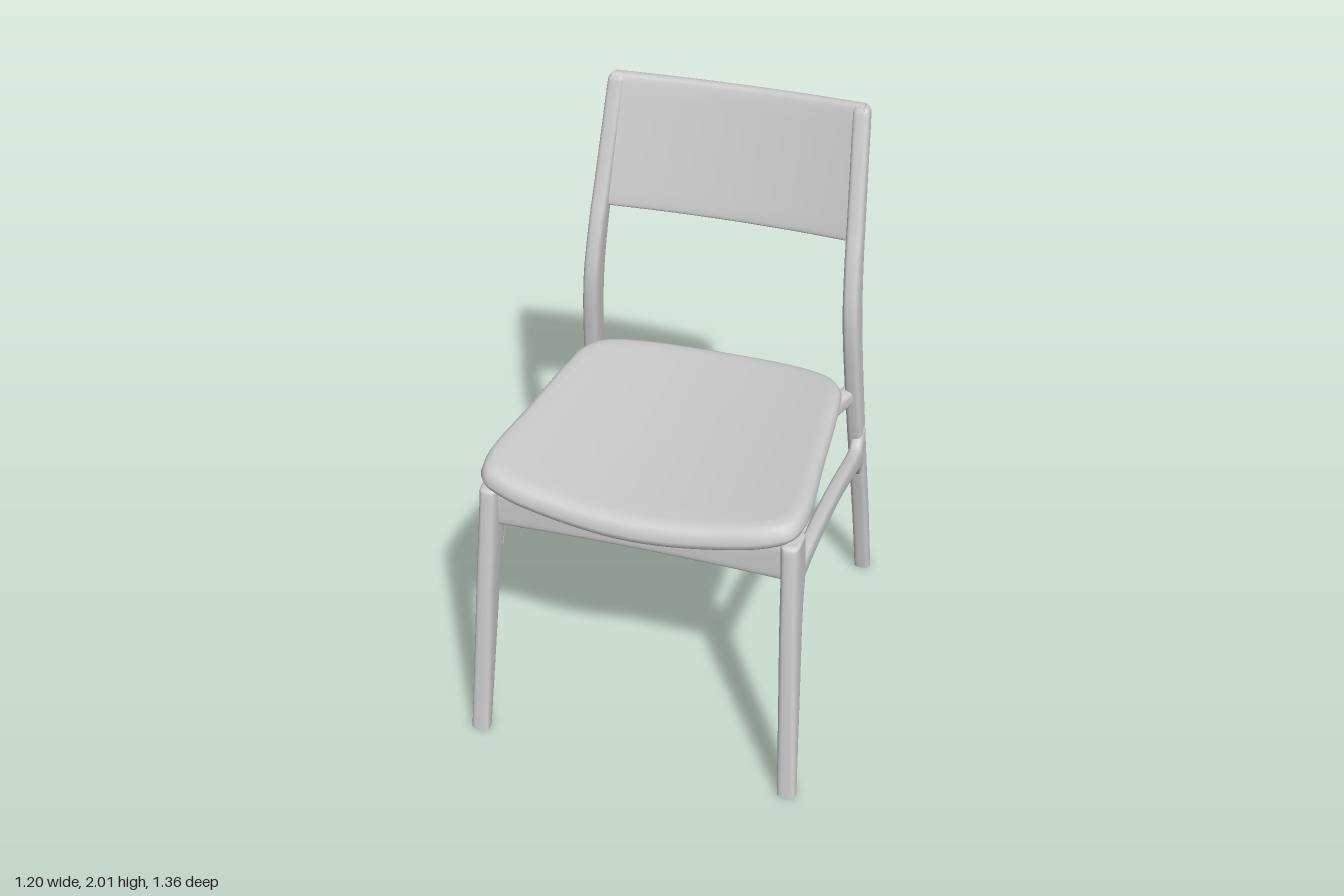
import * as THREE from 'three';

const V = (x, y, z) => new THREE.Vector3(x, y, z);
const X = V(1, 0, 0), Y = V(0, 1, 0), Z = V(0, 0, 1);

function meshFrom(name, pos, idx, material) {
  const g = new THREE.BufferGeometry();
  g.setAttribute('position', new THREE.Float32BufferAttribute(pos, 3));
  g.setIndex(idx);
  g.computeVertexNormals();
  const m = new THREE.Mesh(g, material);
  m.name = name;
  return m;
}

// Rounded-rectangle sections swept along smoothed rows of
// { c: centre, a: half size along u, b: half size along v }
function loft(name, rows, u, v, material, steps = 40, power = 0.5) {
  const N = 28;
  const centres = new THREE.CatmullRomCurve3(rows.map(r => r.c));
  const sizes = new THREE.CatmullRomCurve3(rows.map((r, i) => V(r.a, r.b, i)));
  const pos = [], idx = [];
  const ring = (c, a, b) => {
    for (let k = 0; k < N; k++) {
      const t = (k / N) * Math.PI * 2, co = Math.cos(t), si = Math.sin(t);
      const p = c.clone()
        .addScaledVector(u, a * Math.sign(co) * Math.abs(co) ** power)
        .addScaledVector(v, b * Math.sign(si) * Math.abs(si) ** power);
      pos.push(p.x, p.y, p.z);
    }
  };
  const along = rows[rows.length - 1].c.clone().sub(rows[0].c);
  const flip = u.clone().cross(v).dot(along) < 0;
  const tri = (a, b, c) => (flip ? idx.push(a, c, b) : idx.push(a, b, c));
  for (let i = 0; i <= steps; i++) {
    const s = sizes.getPoint(i / steps);
    ring(centres.getPoint(i / steps), s.x, s.y);
  }
  for (let i = 0; i < steps; i++) {
    for (let k = 0; k < N; k++) {
      const a = i * N + k, b = i * N + (k + 1) % N;
      tri(a, b, b + N);
      tri(a, b + N, a + N);
    }
  }
  // end caps with their own vertices for a crisp rim
  [rows[0], rows[rows.length - 1]].forEach((r, e) => {
    const o = pos.length / 3;
    ring(r.c, r.a, r.b);
    pos.push(r.c.x, r.c.y, r.c.z);
    for (let k = 0; k < N; k++) {
      const n = (k + 1) % N;
      if (e) tri(o + N, o + k, o + n);
      else tri(o + N, o + n, o + k);
    }
  });
  return meshFrom(name, pos, idx, material);
}

// Dished cushion panel: one plan outline repeated as nested rings
function makeSeat(material) {
  const half = [[0.28, 0.636], [0.46, 0.61], [0.53, 0.575], [0.556, 0.49],
    [0.533, 0.15], [0.503, -0.2], [0.485, -0.3], [0.43, -0.385], [0.27, -0.458]];
  const pts = [[0, 0.655], ...half, [0, -0.49], ...half.map(([x, z]) => [-x, z]).reverse()];
  const outline = new THREE.CatmullRomCurve3(pts.map(([x, z]) => V(x, 0, z)), true);
  const N = 120, cz = 0.08;
  const plan = Array.from({ length: N }, (_, k) => outline.getPoint(k / N));
  // [plan scale, depth fraction from top to underside]
  const rings = [[0.01, 0], [0.2, 0], [0.4, 0], [0.6, 0], [0.78, 0], [0.89, 0], [0.94, 0.04],
    [0.97, 0.15], [0.988, 0.35], [1, 0.6], [0.994, 0.78], [0.975, 0.92], [0.94, 1],
    [0.8, 1], [0.6, 1], [0.4, 1], [0.2, 1], [0.01, 1]];
  const pos = [], idx = [];
  for (const [s, t] of rings) {
    for (const p of plan) {
      const x = p.x * s, z = cz + (p.z - cz) * s;
      const top = 1.03 + 0.045 * z + 0.06 * (x / 0.53) ** 2;
      pos.push(x, top - t * (0.07 + 0.035 * z), z);
    }
  }
  for (let i = 0; i < rings.length - 1; i++) {
    for (let k = 0; k < N; k++) {
      const a = i * N + k, b = i * N + (k + 1) % N;
      idx.push(a, a + N, b + N, a, b + N, b);
    }
  }
  // outline starts at the front and runs towards +x, so rings face outwards
  for (let k = 1; k < N - 1; k++) {
    const o = (rings.length - 1) * N;
    idx.push(0, k, k + 1, o, o + k + 1, o + k);
  }
  return meshFrom('seat', pos, idx, material);
}

export function createModel() {
  const group = new THREE.Group();
  group.name = 'chair';
  const grey = new THREE.MeshStandardMaterial({ color: 0xcccccc });
  grey.name = 'light grey';

  group.add(makeSeat(grey));

  // [height, front z, back z]
  const frontLeg = [[0, 0.685, 0.635], [0.4, 0.645, 0.56], [0.68, 0.617, 0.51], [0.77, 0.607, 0.485],
    [0.84, 0.599, 0.456], [0.92, 0.589, 0.452], [0.985, 0.58, 0.453], [1.005, 0.574, 0.46], [1.012, 0.562, 0.472]];
  const backLeg = [[0, -0.595, -0.65], [0.3, -0.542, -0.605], [0.55, -0.49, -0.562], [0.72, -0.452, -0.537],
    [0.9, -0.42, -0.513], [1.05, -0.397, -0.497], [1.2, -0.381, -0.488], [1.32, -0.384, -0.491],
    [1.5, -0.427, -0.518], [1.6, -0.463, -0.543], [1.8, -0.528, -0.594], [1.98, -0.586, -0.642], [1.998, -0.596, -0.636]];
  // [z, upper edge, lower edge], flared where it meets the legs
  const stretcher = [[0.5, 0.9, 0.72], [0.465, 0.872, 0.765], [0.42, 0.86, 0.782], [0.25, 0.845, 0.773],
    [0, 0.803, 0.735], [-0.2, 0.758, 0.683], [-0.38, 0.712, 0.622], [-0.43, 0.712, 0.6],
    [-0.46, 0.745, 0.575], [-0.49, 0.79, 0.54]];

  for (const s of [1, -1]) {
    const side = s > 0 ? 'left' : 'right';
    group.add(loft(side + 'FrontLeg', frontLeg.map(([y, f, b], i) => ({
      c: V(s * (0.567 - 0.048 * y), y, (f + b) / 2),
      a: i === frontLeg.length - 1 ? 0.025 : 0.033, b: (f - b) / 2,
    })), X, Z, grey, 56, 0.6));

    group.add(loft(side + 'BackLeg', backLeg.map(([y, f, b], i) => ({
      c: V(s * (0.547 - 0.042 * y - 0.0065 * y * y), y, (f + b) / 2),
      a: i === backLeg.length - 1 ? 0.022 : 0.03, b: (f - b) / 2,
    })), X, Z, grey, 72, 0.6));

    group.add(loft(side + 'ArchedStretcher', stretcher.map(([z, t, b]) => ({
      c: V(s * 0.523, (t + b) / 2, z), a: 0.026, b: (t - b) / 2,
    })), X, Y, grey, 54, 0.65));

    // rails under the seat converge towards the front apron
    group.add(loft(side + 'SeatRail', [
      { c: V(s * 0.49, 0.932, -0.45), a: 0.03, b: 0.033 },
      { c: V(s * 0.13, 0.932, 0.52), a: 0.03, b: 0.033 },
    ], X, Y, grey, 4, 0.6));
  }

  // Front apron and backrest run across, from one side to the other
  const across = [-1, -0.85, -0.5, 0, 0.5, 0.85, 1];
  group.add(loft('frontApron', across.map(t => ({
    c: V(0.5 * t, 0.919 + 0.008 * t * t, 0.525), a: 0.055 + 0.02 * t * t, b: 0.026,
  })), Y, Z, grey, 36, 0.4));

  group.add(loft('backrest', across.map(t => ({
    c: V(0.45 * t, 1.76 + 0.014 * t * t, -0.598 + 0.043 * t * t), a: 0.231, b: 0.023,
  })), V(0, 1, -0.265), V(0, 0.1, 1), grey, 36, 0.25));

  return group;
}
